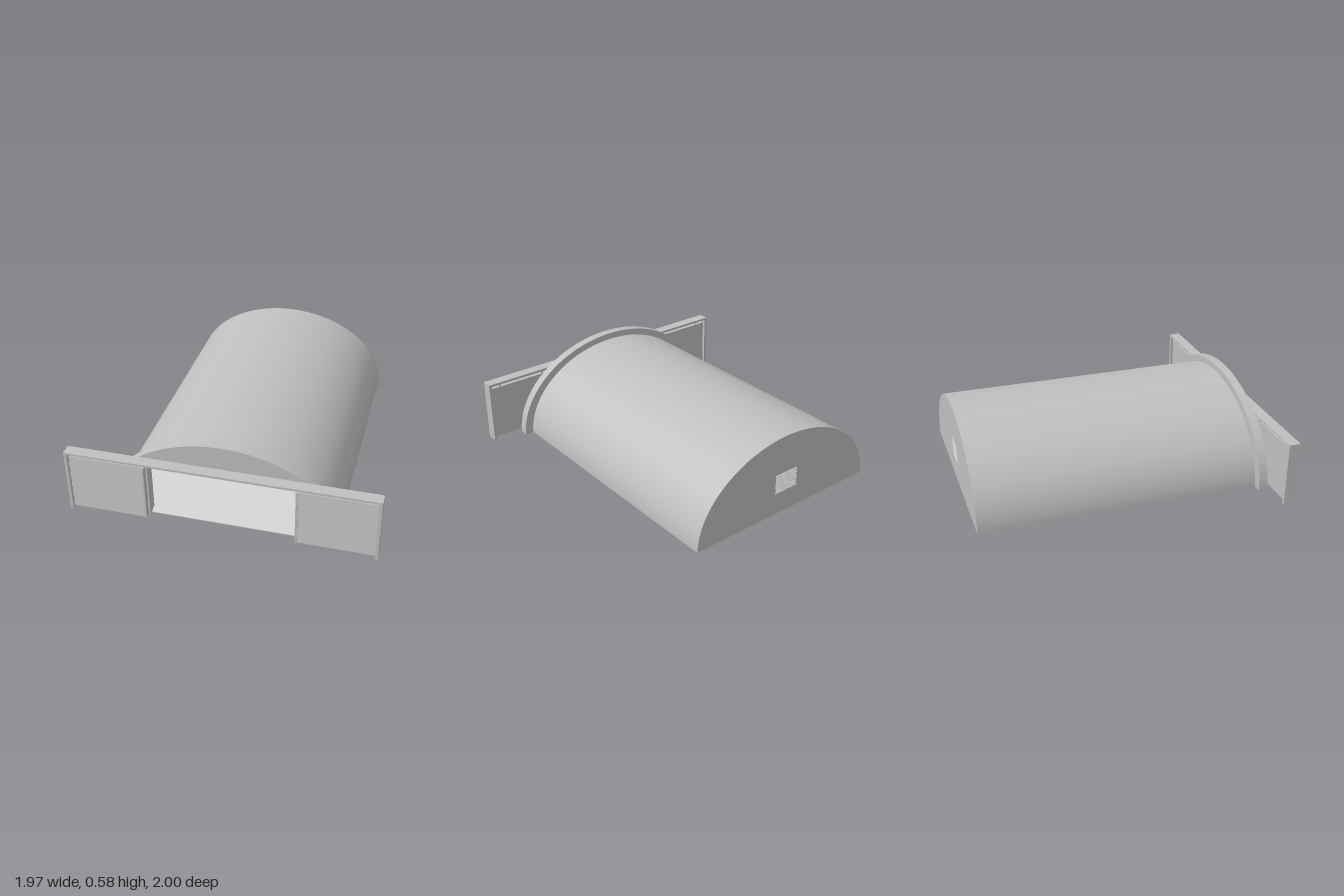
import * as THREE from 'three';
import { toCreasedNormals } from 'three/addons/utils/BufferGeometryUtils.js';

const grey = new THREE.MeshStandardMaterial({ color: 0xc0c0c0 });
grey.name = 'grey';
const lightGrey = new THREE.MeshStandardMaterial({ color: 0xd6d6d6 });
lightGrey.name = 'light grey';

export function createModel() {
  const model = new THREE.Group();
  model.name = 'hangar';

  const add = (name, geometry, parent = model, material = grey) => {
    const mesh = new THREE.Mesh(geometry, material);
    mesh.name = name;
    parent.add(mesh);
    return mesh;
  };
  // Box given by its lower and upper corners
  const box = (name, a, b, parent = model, material = grey) => {
    const mesh = add(name, new THREE.BoxGeometry(b[0] - a[0], b[1] - a[1], b[2] - a[2]), parent, material);
    mesh.position.set((a[0] + b[0]) / 2, (a[1] + b[1]) / 2, (a[2] + b[2]) / 2);
    return mesh;
  };
  // Extrusion from z0 to z1 with smooth curves and sharp corners
  const extrude = (shape, z0, z1) => toCreasedNormals(
    new THREE.ExtrudeGeometry(shape, { depth: z1 - z0, bevelEnabled: false, curveSegments: 48 }).translate(0, 0, z0), 0.5);
  const halfEllipse = (w, h) => new THREE.Shape().absellipse(0, 0, w, h, 0, Math.PI, false, 0);

  // Vaulted roof shell
  const vault = halfEllipse(0.71, 0.54);
  vault.lineTo(-0.65, 0);
  vault.absellipse(0, 0, 0.65, 0.48, Math.PI, 0, true, 0);
  add('roofVault', extrude(vault, -1, 0.865));

  // Back wall with a vent opening
  const back = halfEllipse(0.65, 0.48);
  back.holes.push(new THREE.Path([[-0.09, 0.15], [-0.09, 0.285], [0.09, 0.285], [0.09, 0.15]]
    .map(([x, y]) => new THREE.Vector2(x, y))));
  add('backWall', extrude(back, -1, -0.94));

  // Louvred vent
  const vent = new THREE.Group();
  vent.name = 'vent';
  model.add(vent);
  box('ventPlate', [-0.09, 0.15, -0.955], [0.09, 0.285, -0.938], vent);
  for (let i = 0; i < 6; i++) {
    const slat = add('ventSlat', new THREE.BoxGeometry(0.18, 0.004, 0.026), vent);
    slat.position.set(0, 0.162 + i * 0.0222, -0.99);
    slat.rotation.x = -0.6;
  }

  // Front arch with the doorway cut from its foot
  const arch = halfEllipse(0.77, 0.585);
  arch.lineTo(-0.47, 0);
  arch.lineTo(-0.47, 0.375);
  arch.lineTo(0.47, 0.375);
  arch.lineTo(0.47, 0);
  add('frontArch', extrude(arch, 0.86, 0.92));

  // Floor slab, slightly raised inside the shell
  box('floor', [-0.66, 0.003, -0.95], [0.66, 0.008, 0.865], model, lightGrey);
  box('threshold', [-0.47, 0.003, 0.865], [0.47, 0.008, 0.92], model, lightGrey);

  // Door frame: top beam, end posts
  box('topBeam', [-0.985, 0.418, 0.925], [0.985, 0.433, 1]);

  // Clapboard profile of a door leaf, in depth and height
  const boards = 5, bottom = 0.012, top = 0.39, step = (top - bottom) / boards;
  const profile = new THREE.Shape();
  profile.moveTo(0.945, bottom);
  for (let i = 0; i < boards; i++) {
    profile.lineTo(0.982, bottom + i * step);
    profile.lineTo(0.972, bottom + (i + 1) * step);
  }
  profile.lineTo(0.945, top);

  for (const s of [1, -1]) {
    const side = new THREE.Group();
    side.name = s > 0 ? 'leftDoor' : 'rightDoor';
    model.add(side);
    const sideBox = (name, x0, x1, y0, y1, z0, z1) =>
      box(name, [Math.min(s * x0, s * x1), y0, z0], [Math.max(s * x0, s * x1), y1, z1], side);

    sideBox('endPost', 0.965, 0.985, 0, 0.42, 0.925, 1);
    sideBox('jamb', 0.465, 0.477, 0, 0.375, 0.9, 0.945);

    // Sliding leaf of overlapping boards
    const leaf = add('doorLeaf', new THREE.ExtrudeGeometry(profile, { depth: 0.487, bevelEnabled: false }), side);
    leaf.rotation.y = -Math.PI / 2;
    leaf.scale.z = 1;
    // The extrusion runs towards -x, with its profile facing +z
    leaf.position.x = s > 0 ? 0.965 : -0.478;
    sideBox('leafEdge', 0.475, 0.487, bottom, top, 0.94, 0.984);

    // Rollers and hangers
    for (const x of [0.55, 0.89]) {
      sideBox('doorFoot', x - 0.005, x + 0.005, 0, 0.014, 0.955, 0.97);
      sideBox('doorHanger', x - 0.005, x + 0.005, 0.385, 0.42, 0.945, 0.955);
    }
  }
  return model;
}
